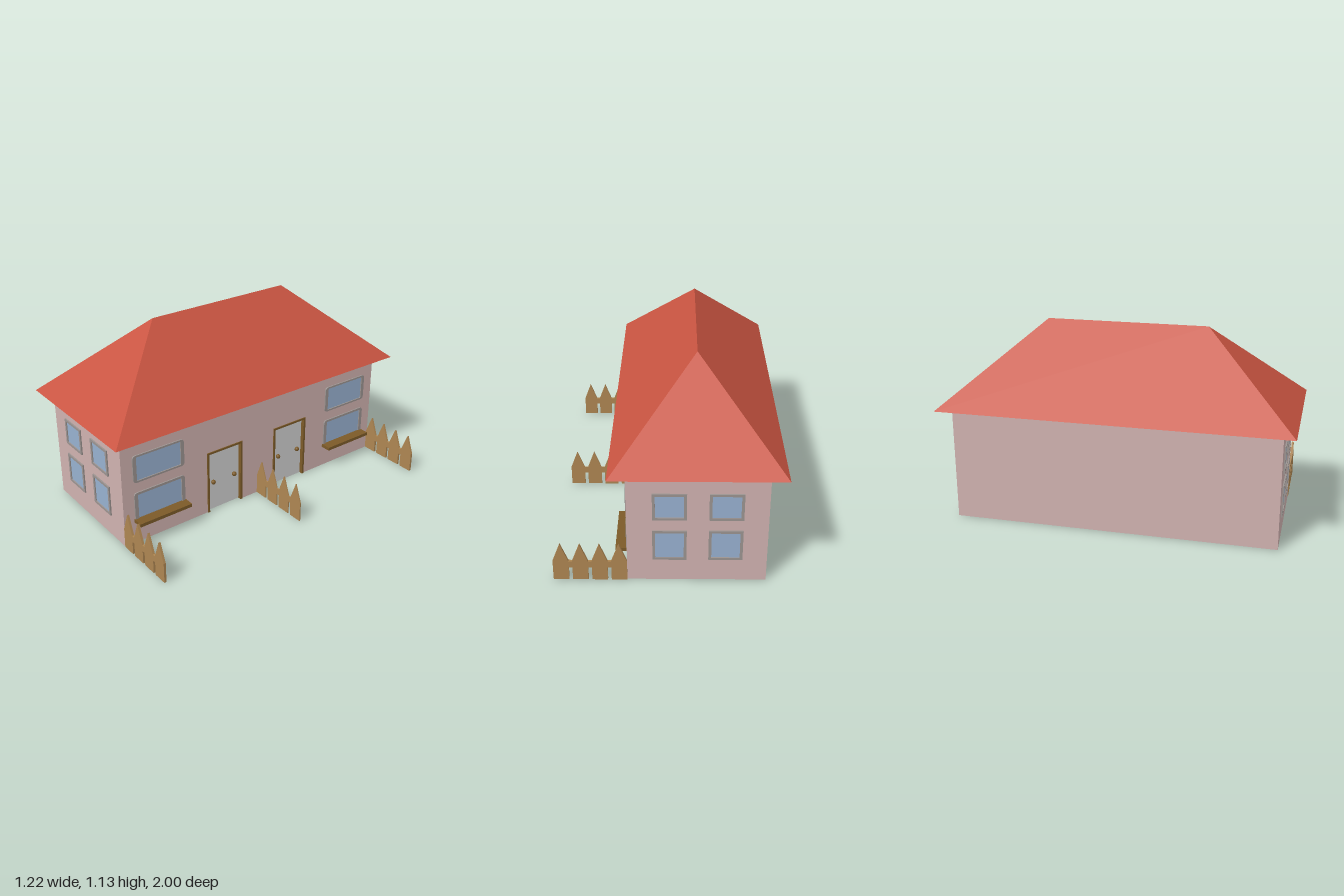
import * as THREE from 'three';

const mat = (name, color) => {
  const m = new THREE.MeshStandardMaterial({ color });
  m.name = name;
  return m;
};

export function createModel() {
  const group = new THREE.Group();
  const wall = mat('pink plaster', 0xd0b2b0);
  const roofRed = mat('roof red', 0xc95441);
  const glass = mat('window blue', 0x98b1d0);
  const frameGrey = mat('frame grey', 0x9c9491);
  const wood = mat('fence wood', 0xae8652);
  const brown = mat('dark wood', 0x7c5a28);
  const doorGrey = mat('door grey', 0xcfcfcf);

  const add = (parent, name, geo, material, x = 0, y = 0, z = 0) => {
    const mesh = new THREE.Mesh(geo, material);
    mesh.name = name;
    mesh.position.set(x, y, z);
    parent.add(mesh);
    return mesh;
  };
  const box = (w, h, d) => new THREE.BoxGeometry(w, h, d);
  const extrude = (shape, depth) =>
    new THREE.ExtrudeGeometry(shape, { depth, bevelEnabled: false, curveSegments: 4 });
  const polygon = pts => new THREE.Shape(pts.map(p => new THREE.Vector2(...p)));

  // Rectangle with optional rounded corners
  const rect = (x0, y0, x1, y1, r = 0) => {
    if (!r) return polygon([[x0, y0], [x1, y0], [x1, y1], [x0, y1]]);
    const s = new THREE.Shape();
    s.moveTo(x0 + r, y0).lineTo(x1 - r, y0).quadraticCurveTo(x1, y0, x1, y0 + r);
    s.lineTo(x1, y1 - r).quadraticCurveTo(x1, y1, x1 - r, y1);
    s.lineTo(x0 + r, y1).quadraticCurveTo(x0, y1, x0, y1 - r);
    s.lineTo(x0, y0 + r).quadraticCurveTo(x0, y0, x0 + r, y0);
    return s;
  };

  // Window on the local z = 0 plane: raised frame around a pane
  const addWindow = (parent, x0, y0, x1, y1, bx, by, r) => {
    const win = new THREE.Group();
    win.name = 'window';
    const frame = rect(x0, y0, x1, y1, r);
    frame.holes.push(rect(x0 + bx, y0 + by, x1 - bx, y1 - by, r && 0.006));
    add(win, 'windowFrame', extrude(frame, 0.008), frameGrey);
    add(win, 'windowPane', new THREE.PlaneGeometry(x1 - x0 - bx, y1 - y0 - by), glass,
      (x0 + x1) / 2, (y0 + y1) / 2, 0.002);
    parent.add(win);
  };

  // House core
  add(group, 'houseBody', box(0.715, 0.665, 1.86), wall, -0.1675, 0.3325, 0);

  // Entrance side, drawn in its own plane and turned to face +x
  const side = new THREE.Group();
  side.name = 'entranceSide';
  side.rotation.y = Math.PI / 2;
  side.position.x = 0.215;
  group.add(side);
  add(side, 'entranceWall', extrude(polygon([
    [-0.93, 0], [-0.37, 0], [-0.37, 0.395], [-0.12, 0.395], [-0.12, 0],
    [0.12, 0], [0.12, 0.395], [0.37, 0.395], [0.37, 0], [0.93, 0],
    [0.93, 0.665], [-0.93, 0.665],
  ]), 0.025), wall, 0, 0, -0.025);

  for (const s of [-1, 1]) {
    // Recessed door with jambs, lintel and two knobs
    const door = new THREE.Group();
    door.name = 'door';
    door.position.x = s * 0.245;
    side.add(door);
    add(door, 'doorPanel', box(0.23, 0.385, 0.006), doorGrey, 0, 0.1925, -0.021);
    for (const t of [-1, 1]) {
      add(door, 'doorJamb', box(0.013, 0.397, 0.031), brown, t * 0.1195, 0.1985, -0.0095);
      add(door, 'doorKnob', new THREE.SphereGeometry(0.014, 12, 8), brown, t * 0.076, 0.185, -0.009);
    }
    add(door, 'doorLintel', box(0.226, 0.012, 0.031), brown, 0, 0.391, -0.0095);

    // Wide windows and sill beside each door
    const a = s < 0 ? -0.86 : 0.53;
    addWindow(side, a, 0.383, a + 0.33, 0.55, 0.022, 0.011, 0.022);
    addWindow(side, a, 0.138, a + 0.33, 0.32, 0.022, 0.014, 0.022);
    add(side, 'windowSill', box(0.34, 0.02, 0.065), brown, s * 0.695, 0.145, 0.0325);
  }

  // Four windows on each end wall
  for (const s of [1, -1]) {
    const end = new THREE.Group();
    end.name = s > 0 ? 'frontWindows' : 'backWindows';
    end.position.z = s * 0.93;
    if (s < 0) end.rotation.y = Math.PI;
    for (const c of [-0.305, -0.01]) {
      for (const [y0, y1] of [[0.135, 0.32], [0.388, 0.548]]) {
        addWindow(end, s * c - 0.09, y0, s * c + 0.09, y1, 0.015, 0.014, 0);
      }
    }
    group.add(end);
  }

  // Hipped roof: four eave corners and two ridge ends
  const A = [-0.612, 0.665, 1], B = [0.306, 0.665, 1], C = [0.306, 0.665, -1], D = [-0.612, 0.665, -1];
  const F = [-0.153, 1.128, 0.465], K = [-0.153, 1.128, -0.465];
  const faces = [A, B, F, B, C, K, B, K, F, C, D, K, D, A, F, D, F, K, A, D, C, A, C, B];
  const roof = new THREE.BufferGeometry();
  roof.setAttribute('position', new THREE.Float32BufferAttribute(faces.flat(), 3));
  roof.computeVertexNormals();
  add(group, 'roof', roof, roofRed);

  // Picket fence silhouette, repeated three times
  const pts = [];
  for (let i = 0; i < 4; i++) {
    const x = 0.215 + i * 0.1037;
    pts.push([x, 0.12], [x + 0.042, 0.23], [x + 0.084, 0.12]);
  }
  for (let i = 3; i >= 0; i--) {
    const x = 0.215 + i * 0.1037;
    pts.push([x + 0.084, 0], [x, 0]);
    if (i > 0) pts.push([x, 0.08], [x - 0.0197, 0.08]);
  }
  const fenceShape = polygon(pts.reverse());
  for (const [z, t] of [[0.926, 0.013], [0, 0.007], [-0.93, 0.013]]) {
    add(group, 'picketFence', extrude(fenceShape, t), wood, 0, 0, z - t / 2);
  }
  return group;
}
